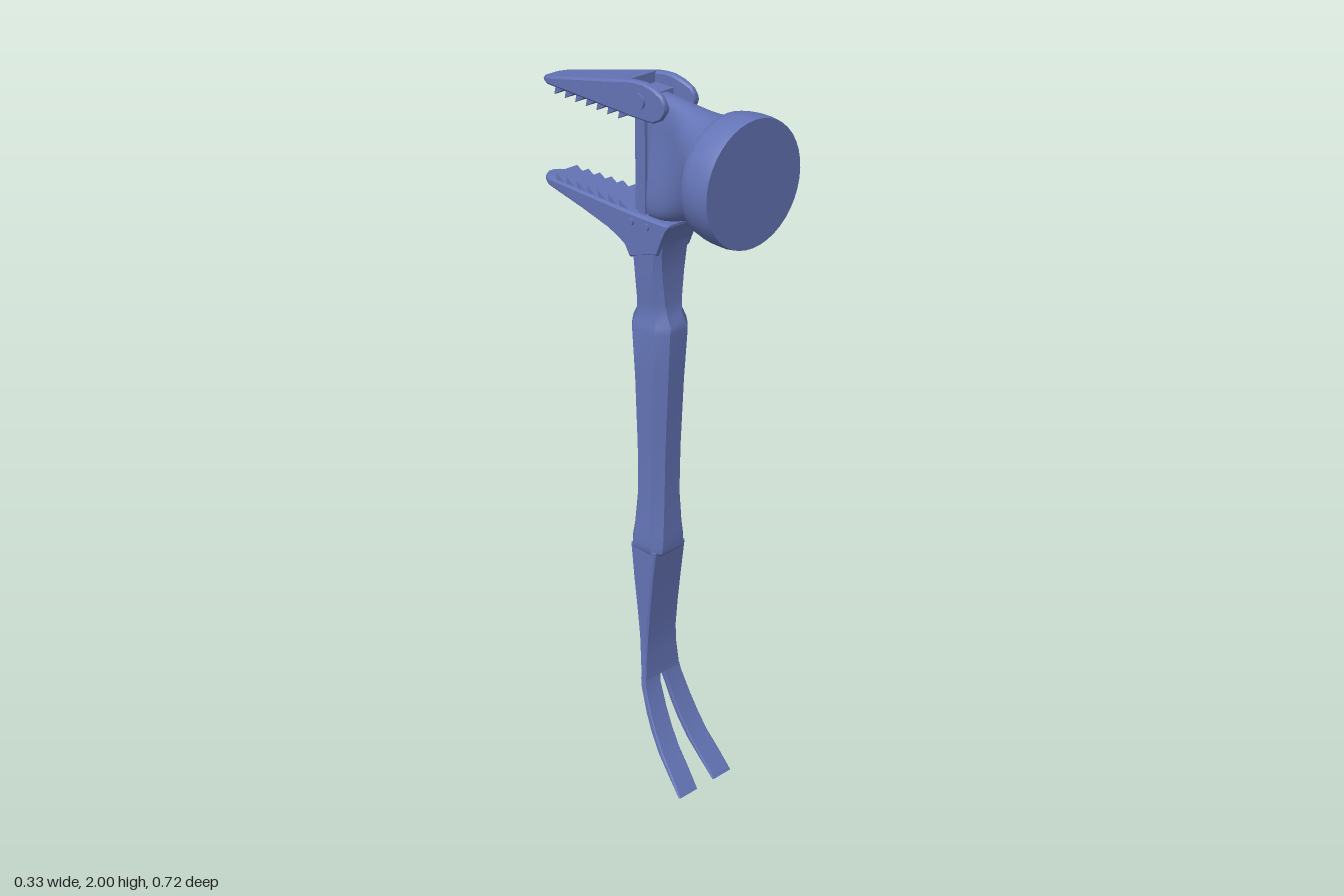
import * as THREE from 'three';
import { toCreasedNormals } from 'three/addons/utils/BufferGeometryUtils.js';

const HEAD_Y = 1.81;
const V = (x, y, z) => new THREE.Vector3(x, y, z);

// Skin a row of equal-sized rings, close both ends, and turn the faces outward
function loft(rings, crease = 0.55) {
  const n = rings[0].length, tris = [];
  for (let i = 0; i < rings.length - 1; i++) {
    for (let j = 0; j < n; j++) {
      const k = (j + 1) % n, a = rings[i], b = rings[i + 1];
      tris.push([a[j], a[k], b[k]], [a[j], b[k], b[j]]);
    }
  }
  [rings[0], rings[rings.length - 1]].forEach((r, end) => {
    const c = r.reduce((s, p) => s.add(p), V(0, 0, 0)).divideScalar(n);
    for (let j = 0; j < n; j++) {
      const k = (j + 1) % n;
      tris.push(end ? [c, r[j], r[k]] : [c, r[k], r[j]]);
    }
  });
  const volume = tris.reduce((s, [a, b, c]) => s + a.dot(b.clone().cross(c)), 0);
  const pos = tris.flatMap(([a, b, c]) => (volume > 0 ? [a, b, c] : [a, c, b]).flatMap(p => p.toArray()));
  const geo = new THREE.BufferGeometry();
  geo.setAttribute('position', new THREE.Float32BufferAttribute(pos, 3));
  geo.computeVertexNormals();
  return toCreasedNormals(geo, crease);
}

// Rectangle with cut corners between u0..u1 and v0..v1
function chamferRect(u0, u1, v0, v1, c) {
  const k = Math.min(c, (u1 - u0) * 0.45, (v1 - v0) * 0.45);
  return [[u0 + k, v0], [u1 - k, v0], [u1, v0 + k], [u1, v1 - k],
    [u1 - k, v1], [u0 + k, v1], [u0, v1 - k], [u0, v0 + k]];
}
const ringY = (y, x0, x1, z0, z1, c) => chamferRect(x0, x1, z0, z1, c).map(([x, z]) => V(x, y, z));
const ringZ = (z, x0, x1, y0, y1, c) => chamferRect(x0, x1, y0, y1, c).map(([x, y]) => V(x, y, z));

export function createModel() {
  const model = new THREE.Group();
  const steel = new THREE.MeshStandardMaterial({ color: 0x6474b6 });
  const add = (name, geo) => {
    const mesh = new THREE.Mesh(geo, steel);
    mesh.name = name;
    model.add(mesh);
    return mesh;
  };

  // Striking head, turned about z
  const profile = [[0, 0.262], [0.144, 0.262], [0.153, 0.265], [0.160, 0.272], [0.164, 0.29],
    [0.167, 0.315], [0.167, 0.345], [0.164, 0.361], [0, 0.361]].map(p => new THREE.Vector2(...p));
  const headGeo = new THREE.LatheGeometry(profile, 40);
  headGeo.rotateX(Math.PI / 2).translate(0, HEAD_Y, 0);
  add('strikingHead', toCreasedNormals(headGeo, 0.6));

  // Neck: round at the head, tall and narrow at the post, wider at its foot
  // [z, half width top, half width bottom, top y, bottom y, squareness]
  const neck = [
    [0.275, 0.146, 0.146, 1.956, 1.664, 2], [0.255, 0.140, 0.140, 1.951, 1.669, 2],
    [0.235, 0.118, 0.122, 1.950, 1.670, 2.1], [0.21, 0.096, 0.104, 1.950, 1.670, 2.2],
    [0.18, 0.077, 0.096, 1.952, 1.668, 2.4], [0.15, 0.060, 0.088, 1.956, 1.662, 2.7],
    [0.12, 0.045, 0.080, 1.961, 1.652, 3], [0.09, 0.037, 0.072, 1.965, 1.645, 3.5],
    [0.045, 0.036, 0.060, 1.967, 1.640, 4]];
  add('neck', loft(neck.map(([z, wt, wb, yt, yb, e]) => Array.from({ length: 36 }, (_, i) => {
    const a = i / 36 * Math.PI * 2, c = Math.cos(a), s = Math.sin(a);
    const u = Math.sign(c) * Math.abs(c) ** (2 / e), v = Math.sign(s) * Math.abs(s) ** (2 / e);
    const w = THREE.MathUtils.lerp(wb, wt, Math.min(1, (v + 1) * 0.75));
    return V(u * w, (yt + yb) / 2 + v * (yt - yb) / 2, z);
  })), 0.7));

  // Post joining the jaws, with a rail down each side
  const post = add('post', new THREE.BoxGeometry(0.072, 0.34, 0.062));
  post.position.set(0, 1.80, 0.021);
  for (const s of [-1, 1]) {
    const rail = add('postRail', new THREE.BoxGeometry(0.012, 0.28, 0.024));
    rail.position.set(s * 0.04, 1.77, 0.022);
  }

  // Upper jaw [z, half width, top y]
  const upper = [[-0.362, 0.014, 1.916], [-0.353, 0.028, 1.920], [-0.33, 0.041, 1.926],
    [-0.2, 0.049, 1.955], [-0.1, 0.055, 1.977], [-0.05, 0.058, 1.988], [-0.015, 0.060, 1.996]];
  add('upperJaw', loft(upper.map(([z, w, y]) => ringZ(z, -w, w, 1.904, y, 0.006))));

  // Forked cheeks of the upper jaw [z, bottom y, top y], and their pivot pins
  const cheek = [[-0.02, 1.904, 1.995], [0.01, 1.904, 1.999], [0.04, 1.904, 2.0], [0.075, 1.905, 1.993],
    [0.1, 1.918, 1.982], [0.112, 1.935, 1.968], [0.116, 1.946, 1.955]];
  for (const s of [-1, 1]) {
    add('upperJawCheek', loft(cheek.map(([z, y0, y1], i) => {
      const a = s * (i > 3 ? 0.043 : 0.038), b = s * 0.06;
      return ringZ(z, Math.min(a, b), Math.max(a, b), y0, y1, 0.005);
    })));
    const pin = add('pivotPin', new THREE.CylinderGeometry(0.02, 0.02, 0.012, 16));
    pin.rotation.z = Math.PI / 2;
    pin.position.set(s * 0.061, 1.953, 0.03);
    for (const z of [0.0, 0.055]) {
      const rivet = add('lowerRivet', new THREE.CylinderGeometry(0.01, 0.01, 0.014, 10));
      rivet.rotation.z = Math.PI / 2;
      rivet.position.set(s * 0.06, 1.63, z);
    }
  }

  // Lower jaw [z, half width, bottom y]
  const lower = [[-0.362, 0.014, 1.637], [-0.353, 0.028, 1.634], [-0.33, 0.041, 1.629], [-0.2, 0.049, 1.606],
    [-0.1, 0.055, 1.585], [-0.05, 0.058, 1.568], [-0.025, 0.059, 1.555], [-0.008, 0.06, 1.53],
    [0.088, 0.06, 1.56], [0.105, 0.06, 1.6], [0.118, 0.06, 1.628], [0.13, 0.058, 1.646]];
  add('lowerJaw', loft(lower.map(([z, w, y]) => ringZ(z, -w, w, y, 1.653, 0.006))));

  // Sawteeth on both gripping faces
  for (const [name, y, dir] of [['upperTooth', 1.906, -1], ['lowerTooth', 1.651, 1]]) {
    for (let i = 0; i < 7; i++) {
      const z = -0.02 - i * 0.041, w = 0.05 - i * 0.002;
      add(name, loft([-w, w].map(x => [V(x, y, z), V(x, y + dir * 0.022, z - 0.037), V(x, y, z - 0.032)])));
    }
  }

  // Handle shank and grip [y, half width, back z, front z, corner cut]
  const handle = [
    [1.62, 0.060, -0.010, 0.108, 0.010], [1.56, 0.059, -0.010, 0.093, 0.014], [1.5, 0.057, -0.010, 0.090, 0.018],
    [1.42, 0.052, -0.010, 0.091, 0.022], [1.385, 0.050, -0.014, 0.096, 0.024], [1.36, 0.056, -0.026, 0.110, 0.028],
    [1.34, 0.060, -0.027, 0.111, 0.028], [1.2, 0.057, -0.019, 0.102, 0.028], [1.0, 0.054, -0.011, 0.092, 0.026],
    [0.85, 0.054, -0.010, 0.089, 0.026], [0.75, 0.060, -0.016, 0.092, 0.026], [0.715, 0.062, -0.020, 0.094, 0.024],
    [0.695, 0.061, -0.019, 0.092, 0.022], [0.685, 0.055, -0.010, 0.084, 0.018]];
  add('handle', loft(handle.map(([y, w, z0, z1, c]) => ringY(y, -w, w, z0, z1, c))));

  // Pry blade thinning below the grip
  const blade = [[0.70, 0.059, -0.010, 0.084], [0.6, 0.059, 0.001, 0.071], [0.5, 0.058, 0.013, 0.060],
    [0.42, 0.058, 0.022, 0.053], [0.36, 0.062, 0.029, 0.052], [0.29, 0.069, 0.039, 0.056]];
  add('blade', loft(blade.map(([y, w, z0, z1]) => ringY(y, -w, w, z0, z1, 0.005))));

  // Split claw curving forward [y, inner x, outer x, back z, front z]
  const claw = [[0.295, 0.003, 0.068, 0.038, 0.055], [0.27, 0.010, 0.071, 0.043, 0.060],
    [0.2, 0.015, 0.079, 0.071, 0.089], [0.15, 0.019, 0.084, 0.096, 0.115], [0.1, 0.023, 0.089, 0.128, 0.146],
    [0.05, 0.027, 0.095, 0.173, 0.188], [0, 0.031, 0.101, 0.219, 0.226]];
  for (const s of [-1, 1]) {
    add('claw', loft(claw.map(([y, a, b, z0, z1]) =>
      ringY(y, Math.min(s * a, s * b), Math.max(s * a, s * b), z0, z1, 0.003))));
  }
  return model;
}
